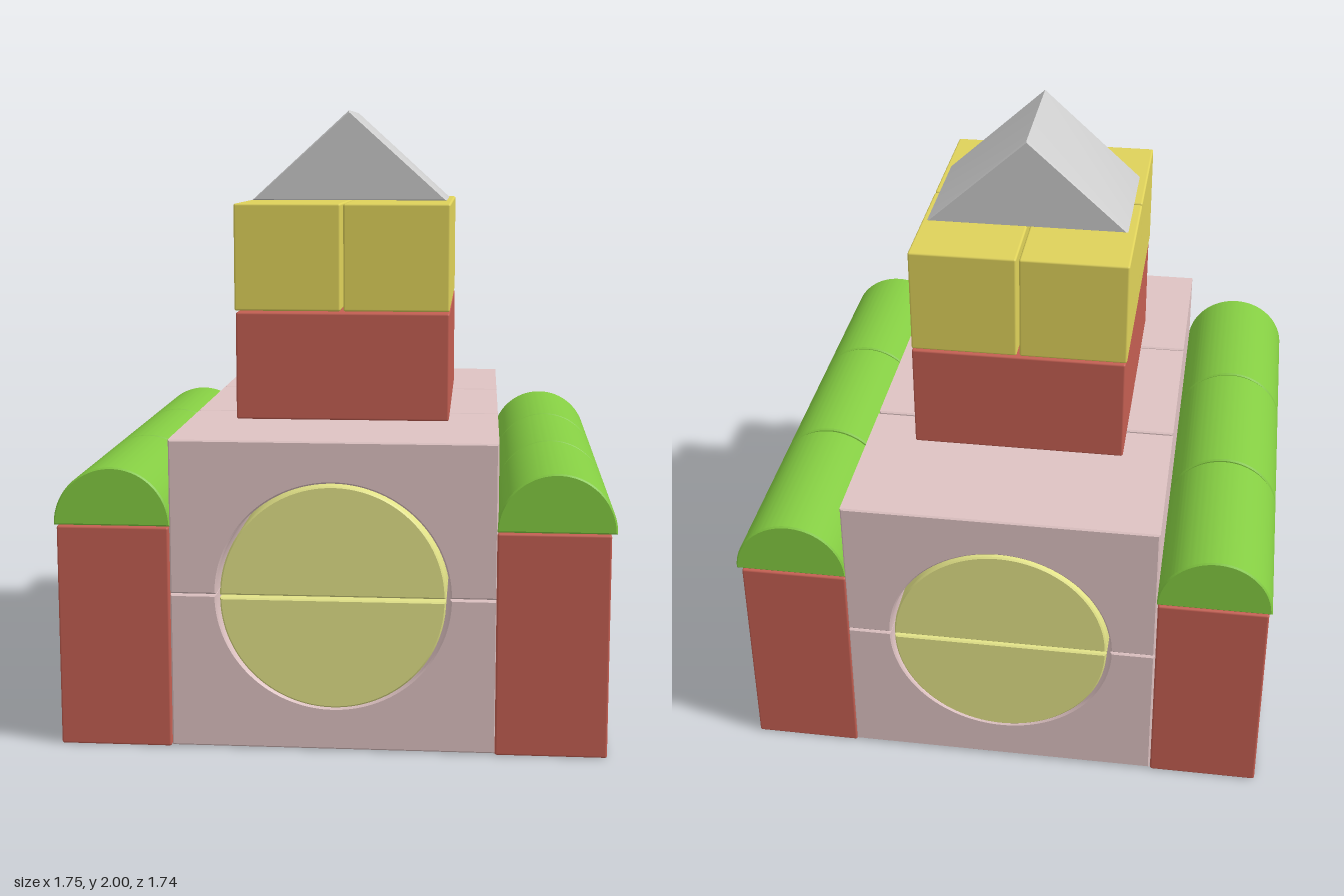
import * as THREE from 'three';
import { RoundedBoxGeometry } from 'three/addons/geometries/RoundedBoxGeometry.js';
import { toCreasedNormals } from 'three/addons/utils/BufferGeometryUtils.js';

const mat = (color) => new THREE.MeshStandardMaterial({ color });
const RED = mat(0xc45f52), YELLOW = mat(0xdfd25a), PALE = mat(0xe3e388);
const GREEN = mat(0x84cc42), PINK = mat(0xdfc3c3), GREY = mat(0xcccccc);
const BEVEL = 0.005;

// The three rows of blocks from front to back
const ROWS = [[0.29, 0.865], [-0.283, 0.283], [-0.865, -0.292]];

export function createModel() {
  const model = new THREE.Group();

  const add = (name, geometry, material) => {
    const mesh = new THREE.Mesh(geometry, material);
    mesh.name = name;
    model.add(mesh);
    return mesh;
  };

  // Block with slightly softened edges, given by its limits
  const block = (name, material, [x0, x1], [y0, y1], [z0, z1]) =>
    add(name, new RoundedBoxGeometry(x1 - x0, y1 - y0, z1 - z0, 2, 0.007), material)
      .position.set((x0 + x1) / 2, (y0 + y1) / 2, (z0 + z1) / 2);

  // Profile in x and y, carried along z with a small bevel
  const prism = (name, material, shape, [z0, z1]) => {
    const g = new THREE.ExtrudeGeometry(shape, {
      depth: z1 - z0 - 2 * BEVEL, curveSegments: 40,
      bevelSize: BEVEL, bevelThickness: BEVEL, bevelOffset: -BEVEL, bevelSegments: 1,
    });
    g.translate(0, 0, z0 + BEVEL);
    add(name, toCreasedNormals(g, 0.5), material);
  };

  // Half disc resting on (or hanging from) the line y
  const halfDisc = (x, y, rx, ry, up = true) => {
    const s = new THREE.Shape();
    s.absellipse(x, y, rx, ry, up ? 0 : Math.PI, up ? Math.PI : 2 * Math.PI, false, 0);
    s.closePath();
    return s;
  };

  // Block outline with a half-round notch in the edge at y
  const arch = (y, far) => {
    const up = far > y;
    const s = new THREE.Shape();
    s.moveTo(0.51, y);
    s.lineTo(0.51, far);
    s.lineTo(-0.51, far);
    s.lineTo(-0.51, y);
    s.lineTo(-0.365, y);
    s.absellipse(0, y, 0.365, 0.357, Math.PI, up ? 0 : 2 * Math.PI, up, 0);
    s.closePath();
    return s;
  };

  // Core: arch blocks facing each other, filled with half cylinders
  for (const row of ROWS) {
    prism('upperArch', PINK, arch(0.497, 0.985), row);
    prism('lowerArch', PINK, arch(0.494, 0.003), row);
    const fill = [row[0] - 0.003, row[1] + 0.004];
    prism('upperHalfCylinder', PALE, halfDisc(0, 0.497, 0.352, 0.35), fill);
    prism('lowerHalfCylinder', PALE, halfDisc(0, 0.488, 0.352, 0.348, false), fill);
  }

  // Side walls capped with half cylinders
  for (const [side, x0, x1] of [['left', 0.507, 0.855], ['right', -0.865, -0.512]]) {
    block(side + 'Wall', RED, [x0, x1], [0, 0.708], [-0.868, 0.87]);
    const cx = side === 'left' ? 0.689 : -0.691;
    for (const row of ROWS)
      prism(side + 'WallCap', GREEN, halfDisc(cx, 0.71, 0.184, 0.185), row);
  }

  // Tower: two red blocks below four yellow ones
  for (const z of [[0.017, 0.478], [-0.45, 0.007]]) {
    block('towerBase', RED, [-0.353, 0.348], [0.988, 1.342], z);
    for (const x of [[-0.357, -0.008], [0.001, 0.348]])
      block('towerTop', YELLOW, x, [1.347, 1.696], z);
  }

  // Roof
  const roof = new THREE.Shape([
    new THREE.Vector2(-0.33, 1.7), new THREE.Vector2(0.33, 1.7), new THREE.Vector2(0, 2),
  ]);
  prism('roof', GREY, roof, [-0.222, 0.224]);

  return model;
}
